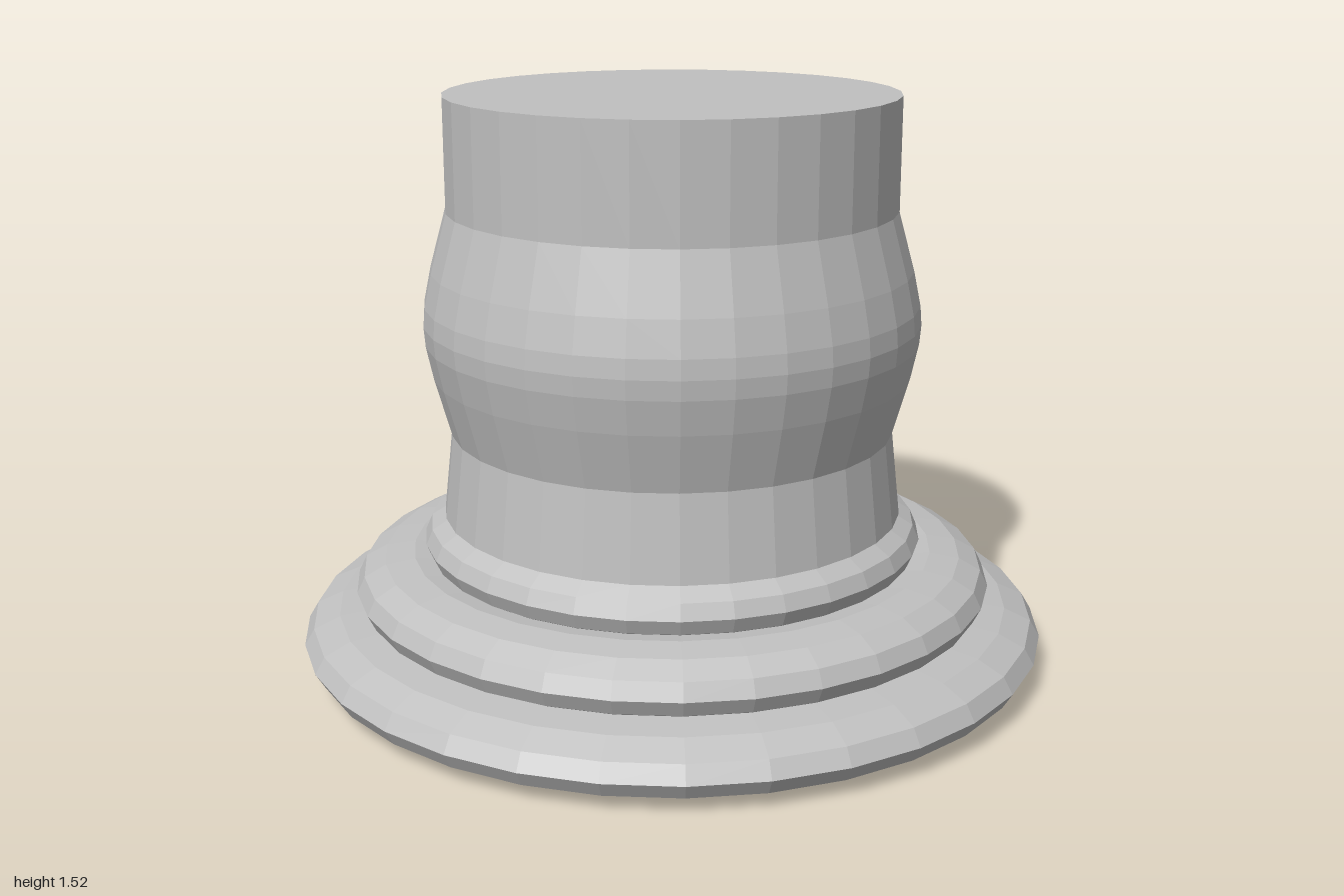
import * as THREE from 'three';

const SEGMENTS = 32;

export function createModel() {
  const group = new THREE.Group();
  const stone = new THREE.MeshStandardMaterial({ color: 0xc0c0c0, flatShading: true });
  stone.name = 'grey stone';

  const add = (name, geometry) => {
    const mesh = new THREE.Mesh(geometry, stone);
    mesh.name = name;
    group.add(mesh);
  };

  // Stacked base mouldings: flattened rings, open in the middle
  const rings = [
    // name, centre height, outer radius, inner radius, half height
    ['baseRing', 0.085, 1.0, 0.62, 0.085],
    ['middleRing', 0.22, 0.857, 0.545, 0.085],
    ['upperRing', 0.34, 0.67, 0.41, 0.08],
  ];
  for (const [name, y, outer, inner, halfHeight] of rings) {
    const tube = (outer - inner) / 2;
    const ring = new THREE.TorusGeometry((outer + inner) / 2, tube, 12, SEGMENTS);
    ring.rotateX(-Math.PI / 2);
    ring.scale(1, halfHeight / tube, 1);
    ring.translate(0, y, 0);
    add(name, ring);
  }

  // Turned column: tapered foot, rounded bulge and straight neck, closed at both ends
  const profile = [
    [0, 0.41], [0.615, 0.41], [0.59, 0.635],
    [0.633, 0.79], [0.652, 0.88], [0.656, 0.93], [0.652, 0.98], [0.633, 1.07],
    [0.59, 1.225], [0.59, 1.52], [0, 1.52],
  ].map(([r, y]) => new THREE.Vector2(r, y));
  add('column', new THREE.LatheGeometry(profile, SEGMENTS));

  return group;
}
